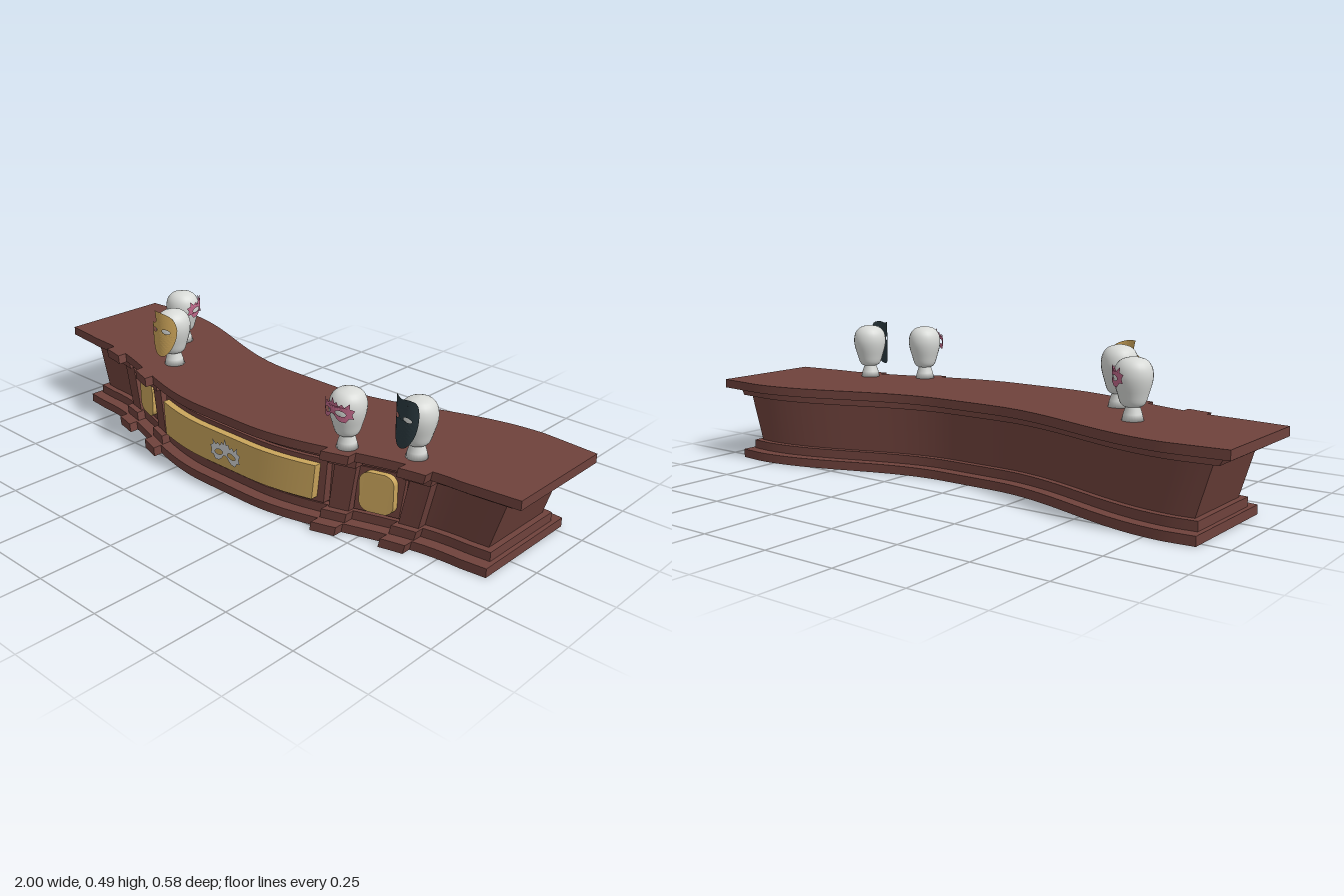
import * as THREE from 'three';

const mat = (name, color, side = THREE.FrontSide) => {
  const m = new THREE.MeshStandardMaterial({ color, side });
  m.name = name;
  return m;
};

// Serpentine plan of the counter: front and back edges as functions of x
const bump = x => 0.5 + 0.5 * Math.cos(Math.PI * THREE.MathUtils.clamp((Math.abs(x) - 0.1) / 0.72, 0, 1));
const tail = x => Math.max(0, Math.abs(x) - 0.82) / 0.18;
const frontZ = x => 0.14 + 0.15 * bump(x) - 0.02 * tail(x);
const backZ = x => -0.295 + 0.165 * bump(x) + 0.015 * tail(x);

// Stacked layers: y range, half length at bottom and top, inset at bottom and top
const LAYERS = [
  ['base', 0, 0.03, 0.91, 0.91, 0.006, 0.006],
  ['lowerMoulding', 0.03, 0.06, 0.895, 0.895, 0.047, 0.047],
  ['wall', 0.06, 0.222, 0.875, 0.925, 0.07, 0.065],
  ['cornice', 0.222, 0.25, 0.95, 0.965, 0.045, 0.045],
  ['top', 0.25, 0.28, 1, 1, 0, 0],
];

// Curved bar between two length fractions; depth = null runs through to the back edge
function bar([, y0, y1, h0, h1, in0, in1], a, b, out = 0, depth = null) {
  const n = Math.max(4, Math.round((b - a) * 32));
  const g = new THREE.BoxGeometry(1, 1, 1, n, 1, 1);
  const p = g.attributes.position;
  for (let i = 0; i < p.count; i++) {
    const t = p.getY(i) + 0.5;
    const x = (a + (b - a) * (p.getX(i) + 0.5)) * (h0 + (h1 - h0) * t);
    const inset = in0 + (in1 - in0) * t;
    const zf = frontZ(x) - inset + out;
    const zb = depth === null ? backZ(x) + inset : zf - depth;
    p.setXYZ(i, x, y0 + (y1 - y0) * t, p.getZ(i) > 0 ? zf : zb);
  }
  g.computeVertexNormals();
  return g;
}

// Splits every triangle into four, so flat shapes can be bent
function subdivide(geo, times) {
  let pos = Array.from(geo.toNonIndexed().attributes.position.array);
  for (let k = 0; k < times; k++) {
    const next = [];
    for (let i = 0; i < pos.length; i += 9) {
      const [a, b, c] = [0, 3, 6].map(o => new THREE.Vector3().fromArray(pos, i + o));
      const mid = (u, v) => u.clone().add(v).multiplyScalar(0.5);
      const ab = mid(a, b), bc = mid(b, c), ca = mid(c, a);
      for (const v of [a, ab, ca, ab, b, bc, ca, bc, c, ab, bc, ca]) next.push(v.x, v.y, v.z);
    }
    pos = next;
  }
  const g = new THREE.BufferGeometry();
  g.setAttribute('position', new THREE.Float32BufferAttribute(pos, 3));
  return g;
}

function bend(geo, zRule) {
  const p = geo.attributes.position;
  for (let i = 0; i < p.count; i++) p.setZ(i, p.getZ(i) + zRule(p.getX(i), p.getY(i)));
  geo.computeVertexNormals();
  return geo;
}

function eyeHoles(shape, sides, x, y, rx, ry) {
  for (const s of sides) {
    const hole = new THREE.Path();
    hole.absellipse(s * x, y, rx, ry, 0, Math.PI * 2, true, -s * 0.2);
    shape.holes.push(hole);
  }
  return shape;
}
const vecs = pts => pts.map(([x, y]) => new THREE.Vector2(x, y));
const mirrored = half => vecs([...half, ...half.slice(1, -1).reverse().map(([x, y]) => [-x, y])]);
const smooth = pts => new THREE.SplineCurve(vecs([...pts, pts[0]])).getPoints(48).slice(0, -1);

// Ornate eye mask with a jagged rim
const laceMask = () => eyeHoles(new THREE.Shape(mirrored([
  [0, 0.05], [0.006, 0.031], [0.014, 0.036], [0.02, 0.024], [0.03, 0.031], [0.037, 0.022],
  [0.051, 0.036], [0.05, 0.019], [0.062, 0.014], [0.056, 0.002], [0.06, -0.012], [0.049, -0.012],
  [0.041, -0.025], [0.026, -0.023], [0.014, -0.014], [0.006, -0.004], [0, -0.003],
])), [-1, 1], 0.026, 0.002, 0.016, 0.008);

// Full face mask
const faceMask = () => eyeHoles(new THREE.Shape(smooth([
  [0, 0.066], [0.03, 0.07], [0.05, 0.058], [0.054, 0.01], [0.044, -0.045], [0.018, -0.082],
  [-0.018, -0.082], [-0.044, -0.045], [-0.054, 0.01], [-0.05, 0.058], [-0.03, 0.07],
])), [-1, 1], 0.024, 0.008, 0.014, 0.007);

// Face mask swept away over one brow
const sweptMask = () => eyeHoles(new THREE.Shape(smooth([
  [-0.022, 0.07], [0.012, 0.068], [0.045, 0.052], [0.058, 0.01], [0.046, -0.045], [0.018, -0.082],
  [-0.018, -0.08], [-0.045, -0.045], [-0.058, 0.008], [-0.04, 0.024], [-0.016, 0.034],
])), [-1, 1], 0.025, 0.004, 0.014, 0.007);

function roundedPanel(x0, x1, y0, y1, r) {
  const s = new THREE.Shape();
  s.absarc(x1 - r, y1 - r, r, 0, Math.PI / 2);
  s.absarc(x0 + r, y1 - r, r, Math.PI / 2, Math.PI);
  s.absarc(x0 + r, y0 + r, r, Math.PI, Math.PI * 1.5);
  s.absarc(x1 - r, y0 + r, r, Math.PI * 1.5, Math.PI * 2);
  return s;
}

export function createModel() {
  const wood = mat('dark red wood', 0x6f423c);
  const gold = mat('gold', 0xcaa55c);
  const white = mat('off white', 0xd8dad7);
  const trim = mat('silver white trim', 0xd2d4d6, THREE.DoubleSide);
  const pink = mat('pink mask', 0xbd6687, THREE.DoubleSide);
  const dark = mat('dark teal mask', 0x2b3a40, THREE.DoubleSide);
  const goldMask = mat('gold mask', 0xcda55a, THREE.DoubleSide);

  const root = new THREE.Group();
  const add = (parent, name, geo, material) => {
    const m = new THREE.Mesh(geo, material);
    m.name = name;
    parent.add(m);
    return m;
  };

  // Counter body
  const counter = new THREE.Group();
  counter.name = 'counter';
  root.add(counter);
  for (const L of LAYERS) add(counter, L[0], bar(L, -1, 1), wood);

  // Pilasters, stepping out with every layer
  for (const c of [-0.68, -0.445, 0.445, 0.68]) {
    for (const L of LAYERS) {
      const w = L[0] === 'wall' ? 0.034 : 0.043;
      const k = [...L];
      k[3] = 0.91 + 0.09 * L[1] / 0.28;
      k[4] = 0.91 + 0.09 * L[2] / 0.28;
      add(counter, 'pilaster ' + L[0], bar(k, c - w, c + w, 0.033, 0.08), wood);
    }
  }

  // Centre panel with its frame and emblem
  const strip = (y0, y1, inset) => ['', y0, y1, 0.94, 0.97, inset, inset];
  add(counter, 'centreFrame', bar(strip(0.066, 0.216, 0.042), -0.385, 0.385, 0, 0.04), wood);
  add(counter, 'centrePanel', bar(strip(0.083, 0.2, 0.017), -0.362, 0.362, 0, 0.03), gold);
  const emblem = subdivide(new THREE.ShapeGeometry(laceMask()), 2);
  emblem.scale(1.12, 1.15, 1).translate(0, 0.132, 0);
  add(counter, 'emblem', bend(emblem, x => frontZ(x) - 0.013), trim);

  // Rounded side panels
  for (const s of [-1, 1]) {
    const [a, b] = s < 0 ? [-0.63, -0.48] : [0.48, 0.63];
    add(counter, 'sideFrame', bar(strip(0.066, 0.216, 0.052), a, b, 0, 0.03), wood);
    const g = new THREE.ExtrudeGeometry(roundedPanel(-0.053, 0.053, 0.077, 0.21, 0.032),
      { depth: 0.025, bevelEnabled: false, curveSegments: 8 });
    g.translate(s * 0.532, 0, 0);
    add(counter, 'sidePanel', bend(g, x => frontZ(x) - 0.057), gold);
  }

  // Display heads, each wearing a mask
  const neck = new THREE.LatheGeometry(vecs([[0, 0], [0.034, 0], [0.029, 0.02], [0.021, 0.045], [0.02, 0.06]]), 24);
  const skull = new THREE.LatheGeometry(new THREE.SplineCurve(vecs([
    [0, 0.04], [0.024, 0.042], [0.036, 0.053], [0.044, 0.078], [0.053, 0.11], [0.056, 0.138],
    [0.05, 0.165], [0.032, 0.184], [0, 0.192],
  ])).getPoints(24), 24);
  skull.scale(1, 1, 1.06);
  const heads = [
    [-0.59, -0.075, 2.15, 1, laceMask, pink, 0.13],
    [-0.44, 0.1, 0.05, 1.04, sweptMask, goldMask, 0.128],
    [0.44, 0.19, -0.08, 1, laceMask, pink, 0.13],
    [0.63, 0.1, -0.28, 1, faceMask, dark, 0.13],
  ];
  for (const [x, z, yaw, size, shape, material, y] of heads) {
    const head = new THREE.Group();
    head.name = 'displayHead';
    head.position.set(x, 0.28, z);
    head.rotation.y = yaw;
    head.scale.setScalar(size);
    root.add(head);
    add(head, 'neck', neck, white);
    add(head, 'head', skull, white);
    const m = bend(subdivide(new THREE.ShapeGeometry(shape()), 3), u => 0.064 - 8 * u * u);
    add(head, 'mask', m, material).position.y = y;
  }
  return root;
}
